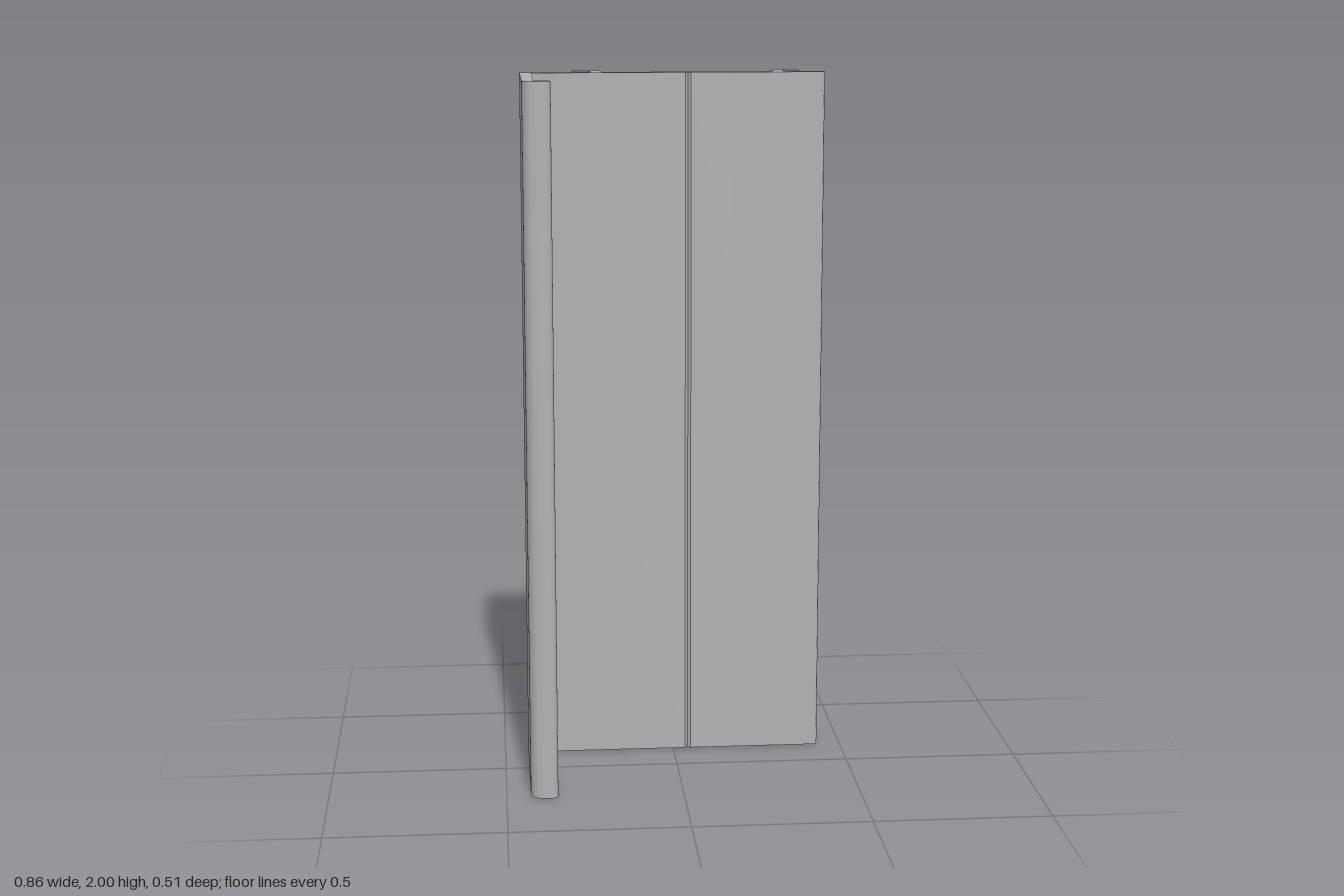
import * as THREE from 'three';
import { toCreasedNormals } from 'three/addons/utils/BufferGeometryUtils.js';

const LENGTH = 2;

// Cross-section corners, counter-clockwise: [x, -z, corner radius]
const PROFILE = [
  // front lip of the side wall
  [-0.432, -0.253, 0.038], [-0.355, -0.253, 0.0155], [-0.355, -0.221, 0.0155], [-0.4, -0.221, 0.007],
  // inner corner, then the front of the plate with its scribe groove
  [-0.4, 0.137, 0.005], [0.035, 0.137, 0], [0.043, 0.144, 0], [0.051, 0.137, 0],
  // free edge of the plate
  [0.432, 0.137, 0.01], [0.432, 0.169, 0.01],
  // left hook
  [0.319, 0.169, 0.007], [0.319, 0.222, 0.007], [0.368, 0.222, 0.0155],
  [0.368, 0.253, 0.0155], [0.287, 0.253, 0.04], [0.287, 0.169, 0.007],
  // right hook
  [-0.199, 0.169, 0.007], [-0.199, 0.253, 0.04], [-0.282, 0.253, 0.0155],
  [-0.282, 0.222, 0.0155], [-0.232, 0.222, 0.007], [-0.232, 0.169, 0.007],
  // outer corner
  [-0.432, 0.169, 0.01],
];

// Replaces each right-angled corner by a quarter arc
function roundedOutline(corners, steps = 8) {
  const points = [];
  const n = corners.length;
  corners.forEach(([x, y, r], i) => {
    const p = new THREE.Vector2(x, y);
    if (r === 0) {
      points.push(p);
      return;
    }
    const toward = ([qx, qy]) => new THREE.Vector2(qx, qy).sub(p).normalize().multiplyScalar(r);
    const a = toward(corners[(i + n - 1) % n]);
    const b = toward(corners[(i + 1) % n]);
    const centre = p.clone().add(a).add(b);
    for (let k = 0; k <= steps; k++) {
      const t = (k / steps) * Math.PI / 2;
      points.push(centre.clone().addScaledVector(b, -Math.cos(t)).addScaledVector(a, -Math.sin(t)));
    }
  });
  return points;
}

export function createModel() {
  const group = new THREE.Group();
  group.name = 'extrudedProfile';

  const aluminium = new THREE.MeshStandardMaterial({ color: 0xb2b2b2 });
  aluminium.name = 'aluminium grey';

  // The whole bar is one section swept upwards
  const shape = new THREE.Shape(roundedOutline(PROFILE));
  const geometry = new THREE.ExtrudeGeometry(shape, { depth: LENGTH, bevelEnabled: false, steps: 1 });
  geometry.rotateX(-Math.PI / 2);

  const bar = new THREE.Mesh(toCreasedNormals(geometry, 0.5), aluminium);
  bar.name = 'hookedAngleBar';
  group.add(bar);
  return group;
}
